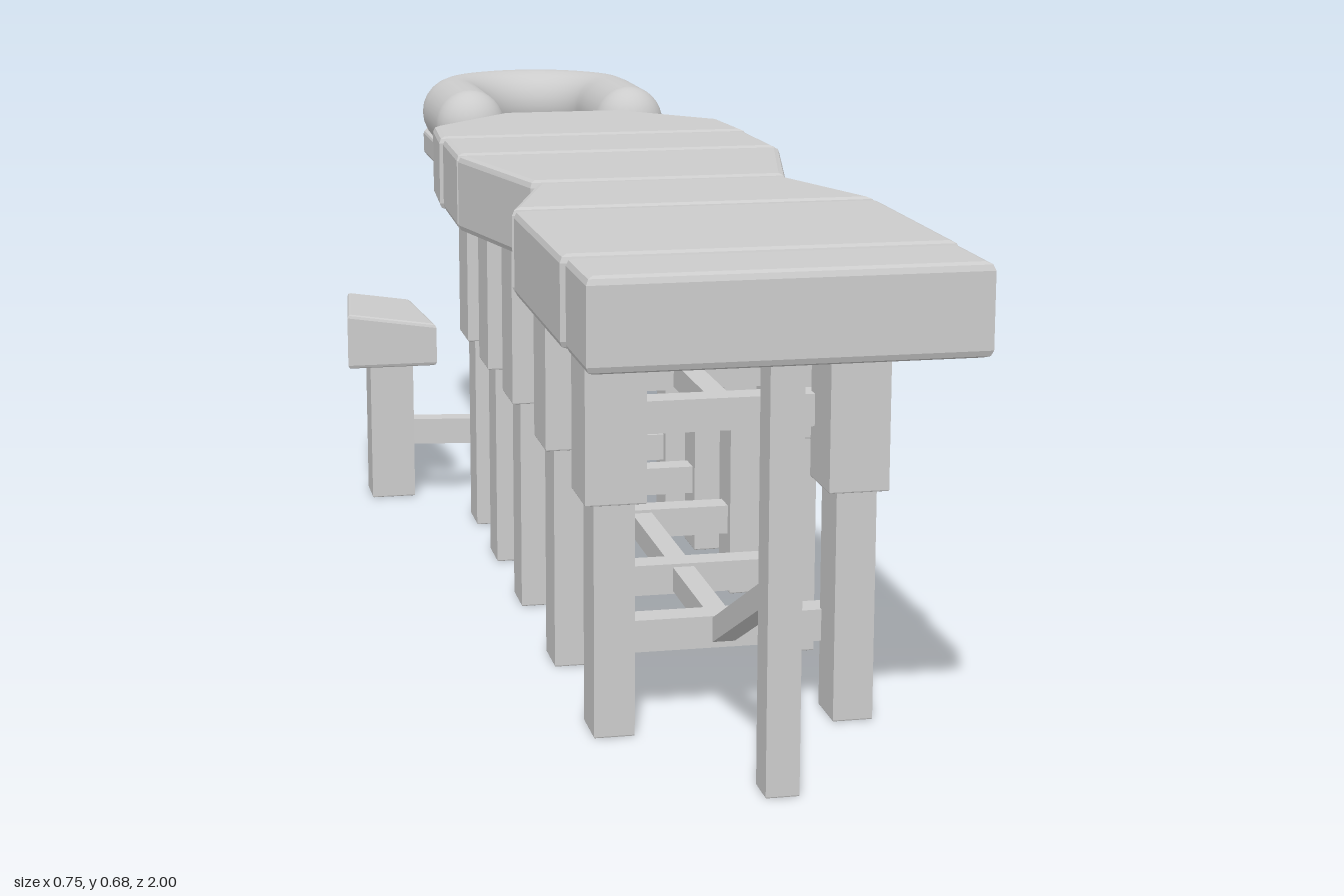
import * as THREE from 'three';

const mat = new THREE.MeshStandardMaterial({ color: 0xcccccc });

export function createModel() {
  const model = new THREE.Group();

  const add = (name, geometry) => {
    const mesh = new THREE.Mesh(geometry, mat);
    mesh.name = name;
    model.add(mesh);
    return mesh;
  };

  // Upright slab with bevelled edges from an [x, z] outline
  const slab = (outline, y0, y1, b = 0.008) => {
    const shape = new THREE.Shape(outline.map(([x, z]) => new THREE.Vector2(x, z)));
    const g = new THREE.ExtrudeGeometry(shape, {
      depth: y1 - y0 - 2 * b, bevelThickness: b, bevelSize: b, bevelOffset: -b, bevelSegments: 2,
    });
    return g.rotateX(Math.PI / 2).translate(0, y1 - b, 0);
  };

  const post = (name, x, z, w, d, y0, y1) =>
    add(name, slab([[x - w / 2, z - d / 2], [x + w / 2, z - d / 2], [x + w / 2, z + d / 2], [x - w / 2, z + d / 2]], y0, y1, 0.002));

  // Rectangular bar between two points
  const bar = (name, a, b, w, h) => {
    const from = new THREE.Vector3(...a), to = new THREE.Vector3(...b);
    const mesh = add(name, new THREE.BoxGeometry(w, h, from.distanceTo(to)));
    mesh.position.copy(from).lerp(to, 0.5);
    mesh.lookAt(to);
  };

  // Cushions: half outlines [half width, z], mirrored across x
  const cushions = {
    footCushion: [[0.243, 1], [0.243, 0.87]],
    calfCushion: [[0.247, 0.853], [0.247, 0.513]],
    thighCushion: [[0.247, 0.497], [0.178, 0.28]],
    hipCushion: [[0.184, 0.265], [0.247, -0.012]],
    waistCushion: [[0.247, -0.025], [0.243, -0.208]],
    shoulderCushion: [[0.247, -0.222], [0.238, -0.365], [0.1, -0.518]],
  };
  for (const [name, half] of Object.entries(cushions)) {
    const mirrored = half.map(([x, z]) => [-x, z]).reverse();
    add(name, slab([...half, ...mirrored], 0.535, 0.65, 0.01));
  }

  // Paired telescopic legs with cross bars
  [0.7, 0.412, 0.13, -0.107, -0.323].forEach((z, i) => {
    for (const s of [-1, 1]) {
      post('lowerLeg', s * 0.158, z, 0.053, 0.07, 0, 0.32);
      post('upperLeg', s * 0.158, z, 0.079, 0.093, 0.31, 0.54);
    }
    const barZ = i === 0 ? 0.652 : z;
    for (const y of [0.112, 0.403]) bar('crossBar', [-0.15, y, barZ], [0.15, y, barZ], 0.04, 0.043);
  });

  // Central legs: shoulder, head and foot
  post('shoulderLowerLeg', 0, -0.462, 0.072, 0.07, 0, 0.32);
  post('shoulderUpperLeg', 0, -0.462, 0.098, 0.091, 0.31, 0.54);
  post('headLowerLeg', 0, -0.769, 0.072, 0.068, 0, 0.32);
  post('headUpperLeg', 0, -0.769, 0.098, 0.096, 0.306, 0.54);
  post('footLeg', 0, 0.955, 0.042, 0.047, 0, 0.54);

  // Long rails and sloping braces
  for (const y of [0.112, 0.403]) bar('longRail', [0, y, 0.65], [0, y, -0.45], 0.03, 0.034);
  bar('footBrace', [0, 0.25, 0.945], [0, 0.105, 0.652], 0.03, 0.03);
  bar('headBrace', [0, 0.325, -0.76], [0, 0.105, -0.47], 0.03, 0.03);

  // Arm rests with sloping tops
  for (const s of [-1, 1]) {
    const outline = [[0.225, -0.46], [0.374, -0.46], [0.352, -0.678], [0.243, -0.678]].map(([x, z]) => [s * x, z]);
    const g = slab(outline, 0.232, 0.325, 0.006);
    const p = g.attributes.position;
    for (let i = 0; i < p.count; i++) {
      if (p.getY(i) > 0.28) p.setY(i, p.getY(i) - 0.15 * (0.374 - Math.abs(p.getX(i))));
    }
    g.computeVertexNormals();
    add('armRest', g);
    post('armRestLeg', s * 0.298, -0.525, 0.072, 0.07, 0, 0.24);
    bar('armRestBar', [0, 0.112, -0.472], [s * 0.28, 0.112, -0.512], 0.033, 0.043);
  }

  // Head plate
  const plateHalf = [[0.09, -0.585], [0.13, -0.572], [0.17, -0.582], [0.19, -0.62], [0.19, -0.87],
    [0.175, -0.93], [0.15, -0.957], [0.09, -0.965]];
  add('headPlate', slab([[0, -0.608], ...plateHalf, ...plateHalf.map(([x, z]) => [-x, z]).reverse()], 0.535, 0.578, 0.006));

  // Horseshoe face cushion with rounded ends
  const R = 0.139, r = 0.059, y = 0.616, zArc = -0.802, zEnd = -0.635;
  const path = new THREE.CurvePath();
  const points = [];
  for (let i = 0; i <= 4; i++) points.push(new THREE.Vector3(R, y, zEnd + (zArc - zEnd) * i / 4));
  for (let i = 1; i < 16; i++) {
    const a = Math.PI * i / 16;
    points.push(new THREE.Vector3(R * Math.cos(a), y, zArc - R * Math.sin(a)));
  }
  for (let i = 0; i <= 4; i++) points.push(new THREE.Vector3(-R, y, zArc + (zEnd - zArc) * i / 4));
  for (let i = 1; i < points.length; i++) path.add(new THREE.LineCurve3(points[i - 1], points[i]));
  add('faceCushion', new THREE.TubeGeometry(new THREE.CatmullRomCurve3(points), 64, r, 24));
  for (const s of [-1, 1]) {
    add('faceCushionEnd', new THREE.SphereGeometry(r, 24, 16)).position.set(s * R, y, zEnd);
  }

  return model;
}
